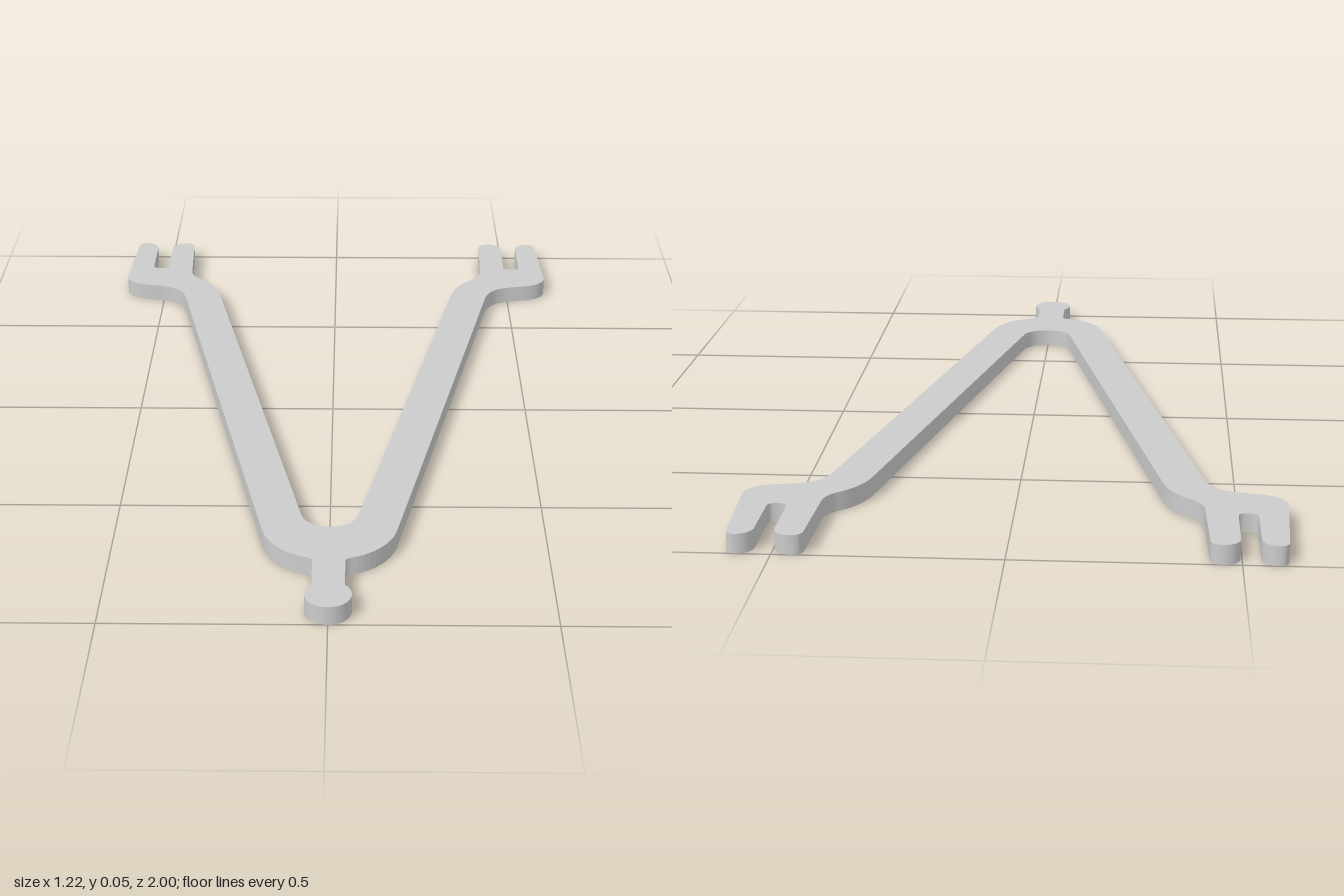
import * as THREE from 'three';

const THICKNESS = 0.045;

// Left half of the outline as (x, z), from the knob tip to the crotch of the V
function halfOutline() {
  const p = new THREE.Path();
  const line = (x, z) => p.lineTo(x, -z);
  const curve = (a, b, c, d, x, z) => p.bezierCurveTo(a, -b, c, -d, x, -z);

  // knob and neck
  p.moveTo(0, 1);
  p.absarc(0, -0.948, 0.052, -Math.PI / 2, Math.PI / 4, false);
  line(0.037, 0.82);
  curve(0.037, 0.808, 0.038, 0.805, 0.05, 0.8);
  // outer shoulder and outer edge of the arm
  curve(0.1, 0.785, 0.143, 0.74, 0.155, 0.68);
  line(0.43, -0.605);
  // heel of the fork
  curve(0.44, -0.65, 0.47, -0.672, 0.5, -0.678);
  line(0.555, -0.69);
  curve(0.585, -0.698, 0.612, -0.715, 0.61, -0.755);
  // outer prong
  line(0.599, -0.975);
  curve(0.598, -0.992, 0.59, -1, 0.578, -1);
  curve(0.558, -1, 0.542, -0.985, 0.541, -0.965);
  line(0.541, -0.83);
  // slot floor
  curve(0.541, -0.815, 0.535, -0.81, 0.519, -0.81);
  curve(0.503, -0.81, 0.497, -0.815, 0.497, -0.83);
  // inner prong
  line(0.497, -0.965);
  curve(0.496, -0.985, 0.48, -1, 0.46, -1);
  curve(0.44, -1, 0.433, -0.992, 0.432, -0.975);
  line(0.425, -0.79);
  // inner bend and inner edge of the arm
  curve(0.424, -0.765, 0.415, -0.75, 0.4, -0.735);
  curve(0.37, -0.71, 0.345, -0.68, 0.333, -0.625);
  line(0.066, 0.615);
  curve(0.058, 0.65, 0.03, 0.667, 0, 0.667);
  return p.getPoints(10);
}

export function createModel() {
  const half = halfOutline();
  const mirrored = half.slice(1, -1).reverse().map(v => new THREE.Vector2(-v.x, v.y));
  const shape = new THREE.Shape([...half, ...mirrored]);

  // flat plate lying on the ground
  const geometry = new THREE.ExtrudeGeometry(shape, { depth: THICKNESS, bevelEnabled: false });
  geometry.rotateX(-Math.PI / 2);

  const plate = new THREE.Mesh(geometry, new THREE.MeshStandardMaterial({ color: 0xcccccc }));
  plate.name = 'forkedArmPlate';

  const model = new THREE.Group();
  model.name = 'forkedArm';
  model.add(plate);
  return model;
}
